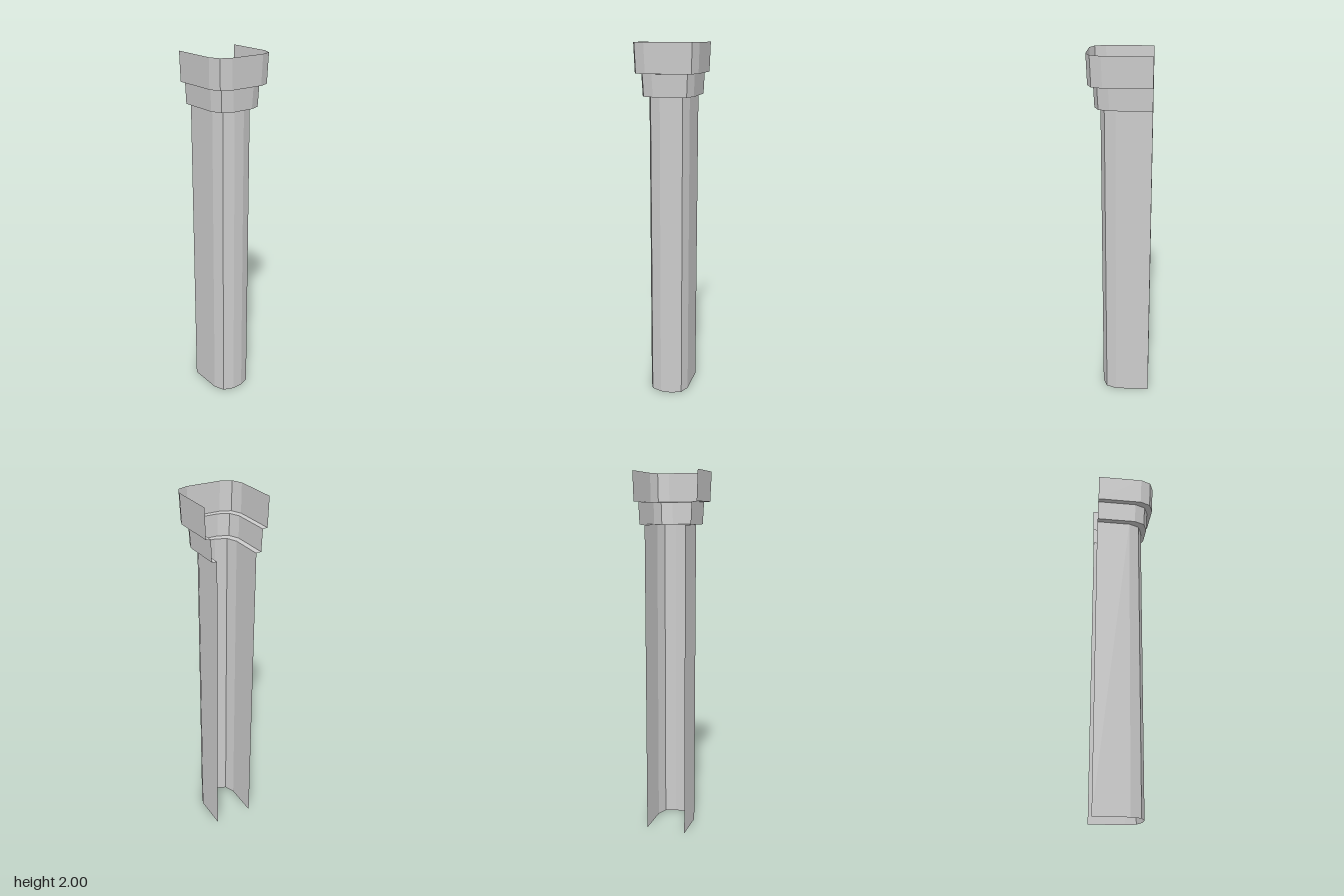
import * as THREE from 'three';

const BACK_X = -0.17;
// Quarter of the U-shaped section, from the open end to the nose
const CORNER = [[0.022, 0.112], [0.08, 0.088], [0.104, 0.03]];

// Full U outline; the corners move diagonally outwards by d
function outline(d) {
  const half = [[BACK_X, 0.112 + d], ...CORNER.map(([x, z]) => [x + d, z + d])];
  return [...half, ...half.slice().reverse().map(([x, z]) => [x, -z])];
}

// Open wall lofted through levels of [outward offset, height]
function loft(levels) {
  const pos = [], index = [];
  const n = outline(0).length;
  for (const [d, y] of levels) for (const [x, z] of outline(d)) pos.push(x, y, z);
  for (let r = 0; r < levels.length - 1; r++) {
    for (let i = 0; i < n - 1; i++) {
      const a = r * n + i, b = a + 1, c = a + n, e = c + 1;
      index.push(a, b, e, a, e, c);
    }
  }
  const geo = new THREE.BufferGeometry();
  geo.setAttribute('position', new THREE.Float32BufferAttribute(pos, 3));
  geo.setIndex(index);
  const flat = geo.toNonIndexed();
  flat.computeVertexNormals();
  return flat;
}

export function createModel() {
  const group = new THREE.Group();
  const material = new THREE.MeshStandardMaterial({
    color: 0xcccccc, flatShading: true, side: THREE.DoubleSide,
  });
  const parts = {
    // Straight half-column
    shaft: [[0, 0], [0, 1.72]],
    // Ledge and slightly flared wall of the lower step
    collar: [[0, 1.72], [0.029, 1.722], [0.034, 1.84]],
    // Ledge and slightly flared wall of the upper step
    capital: [[0.034, 1.84], [0.061, 1.842], [0.066, 2]],
  };
  for (const [name, levels] of Object.entries(parts)) {
    const mesh = new THREE.Mesh(loft(levels), material);
    mesh.name = name;
    group.add(mesh);
  }
  return group;
}
